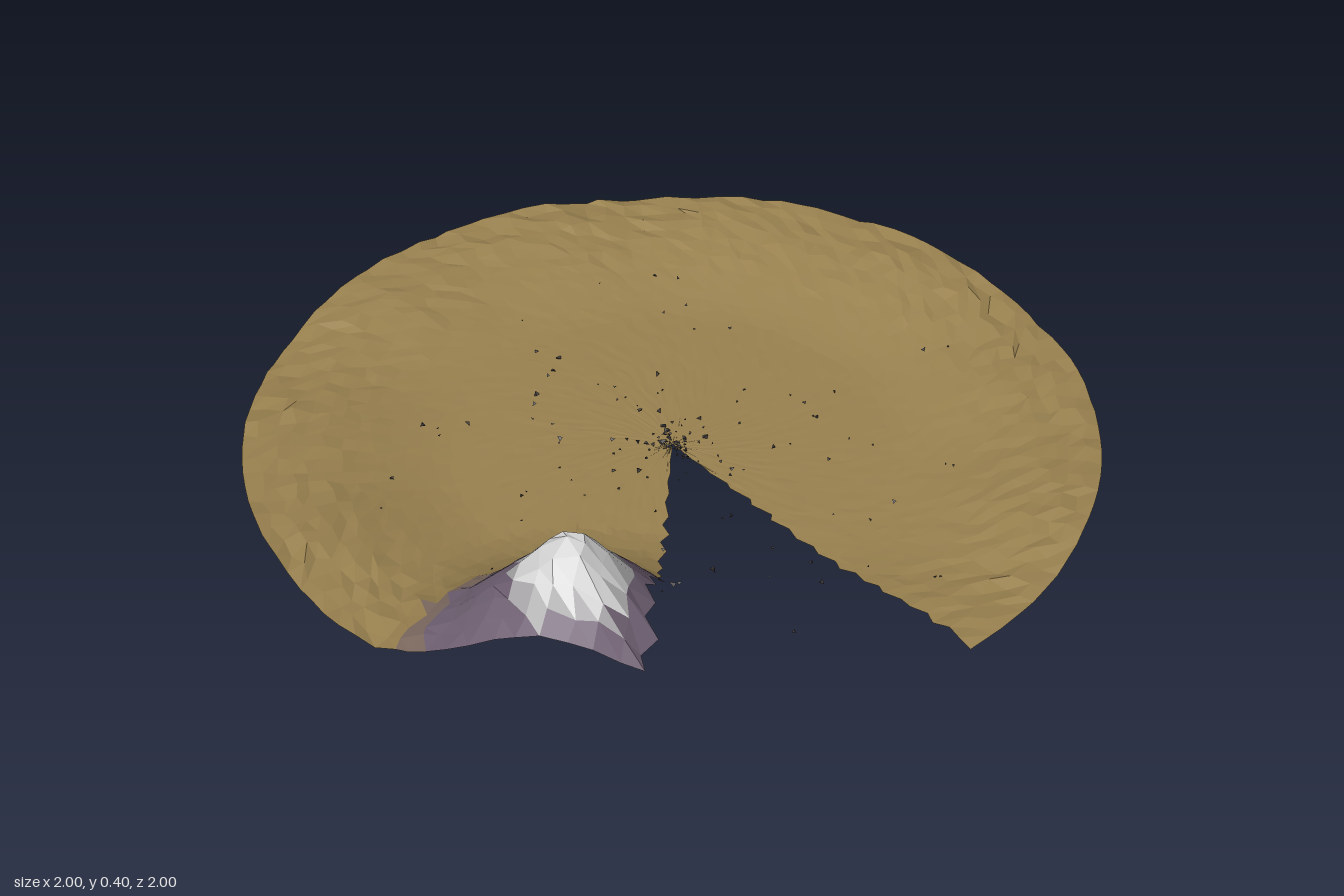
import * as THREE from 'three';
import { mergeGeometries } from 'three/addons/utils/BufferGeometryUtils.js';

// Small seeded random generator
function seeded(seed) {
  return () => {
    seed = (seed * 1664525 + 1013904223) >>> 0;
    return seed / 4294967296;
  };
}

const material = (name, color, extra = {}) =>
  new THREE.MeshStandardMaterial({ name, color, flatShading: true, ...extra });

const PEAK = { x: -0.16, z: 0.83 };
const CUT_START = THREE.MathUtils.degToRad(42.5); // angle from +z towards +x
const CUT_END = Math.PI * 2;

// Height of the mountain by distance from its peak
const SLOPE = [[0, 0.405], [0.05, 0.37], [0.1, 0.3], [0.15, 0.243], [0.21, 0.172],
  [0.28, 0.09], [0.35, 0.045], [0.42, 0.015], [0.5, 0]];
function mountainHeight(d) {
  for (let i = 1; i < SLOPE.length; i++) {
    const [d0, h0] = SLOPE[i - 1], [d1, h1] = SLOPE[i];
    if (d <= d1) return THREE.MathUtils.mapLinear(d, d0, d1, h0, h1);
  }
  return 0;
}

// Shallow bowl with a rolling rim, plus the mountain
function groundHeight(x, z) {
  const r = Math.hypot(x, z), a = Math.atan2(x, z);
  const rim = THREE.MathUtils.smoothstep(r, 0.5, 0.92);
  const roll = 0.008 * Math.sin(a * 5 + 1) + 0.005 * Math.sin(a * 11);
  const bowl = 0.009 + rim * (0.056 + roll);
  const d = Math.hypot(x - PEAK.x, z - PEAK.z);
  return bowl * (1 - 0.8 * THREE.MathUtils.smoothstep(0.4 - d, 0, 0.4)) + mountainHeight(d);
}

// Polar grid of jittered points with ragged cut edges
function terrainPoints(rings, sectors) {
  const rand = seeded(7);
  const grid = [];
  for (let i = 0; i <= rings; i++) {
    const row = [];
    for (let j = 0; j <= sectors; j++) {
      const outer = i === rings, edge = j === 0 || j === sectors;
      let r = i / rings, a = THREE.MathUtils.lerp(CUT_START, CUT_END, j / sectors);
      if (i > 0 && !outer) r += (rand() - 0.5) * 0.55 / rings;
      if (!edge) a += (rand() - 0.5) * 0.5 * (CUT_END - CUT_START) / sectors;
      let x = r * Math.sin(a), z = r * Math.cos(a);
      if (edge && i > 0 && !outer) {
        const size = j === sectors && r > 0.6 ? 0.025 : 0.014;
        x += (i % 2 ? 1 : -0.5) * size * (0.4 + 0.6 * rand()) * Math.min(1, r * 3);
      }
      const rough = 0.001 + 0.012 * THREE.MathUtils.smoothstep(r, 0.6, 0.95);
      const y = groundHeight(x, z) + (rand() - 0.5) * rough;
      row.push(new THREE.Vector3(x, y, z));
    }
    grid.push(row);
  }
  return grid;
}

// Sort the sheet's triangles into height bands, one mesh per colour
function buildTerrain(bands) {
  const rings = 27, sectors = 105;
  const grid = terrainPoints(rings, sectors);
  const buckets = bands.map(() => []);
  const addTriangle = (...tri) => {
    const cx = (tri[0].x + tri[1].x + tri[2].x) / 3;
    const cz = (tri[0].z + tri[1].z + tri[2].z) / 3;
    const y = (tri[0].y + tri[1].y + tri[2].y) / 3;
    const d = Math.hypot(cx - PEAK.x, cz - PEAK.z);
    const level = d < 0.42 ? y + 0.006 * Math.sin(cx * 45) : 0;
    let band = 0;
    while (band + 1 < bands.length && level > bands[band + 1].from) band++;
    for (const p of tri) buckets[band].push(p.x, p.y, p.z);
  };
  for (let i = 0; i < rings; i++) {
    for (let j = 0; j < sectors; j++) {
      const a = grid[i][j], b = grid[i + 1][j], c = grid[i + 1][j + 1], d = grid[i][j + 1];
      addTriangle(a, b, c);
      if (i > 0) addTriangle(a, c, d);
    }
  }
  const terrain = new THREE.Group();
  terrain.name = 'terrain';
  bands.forEach((band, k) => {
    const geometry = new THREE.BufferGeometry();
    geometry.setAttribute('position', new THREE.Float32BufferAttribute(buckets[k], 3));
    geometry.computeVertexNormals();
    const mesh = new THREE.Mesh(geometry, band.material);
    mesh.name = band.name;
    terrain.add(mesh);
  });
  return terrain;
}

// Little stones scattered most densely around the centre
function buildRubble(mat) {
  const rand = seeded(23);
  const stones = [];
  for (let i = 0; i < 150; i++) {
    const r = 0.02 + 0.78 * Math.pow(rand(), 2.2), a = rand() * Math.PI * 2;
    const x = r * Math.sin(a), z = r * Math.cos(a);
    const size = 0.003 + 0.007 * rand() * rand();
    const stone = new THREE.TetrahedronGeometry(size);
    stone.scale(1 + rand() * 0.6, 0.8, 1);
    stone.rotateX(rand() * 6);
    stone.rotateY(rand() * 6);
    stone.translate(x, groundHeight(x, z) + 0.004 + 0.03 * rand() * rand(), z);
    stones.push(stone);
  }
  const rubble = new THREE.Mesh(mergeGeometries(stones), mat);
  rubble.name = 'rubble';
  return rubble;
}

export function createModel() {
  const sheet = { side: THREE.DoubleSide };
  const bands = [
    { name: 'plain', from: -1, material: material('dry earth', 0x9a8250, sheet) },
    { name: 'foothill', from: 0.1, material: material('earthy mauve', 0x7d6a60, sheet) },
    { name: 'mountainSlope', from: 0.122, material: material('purple rock', 0x6f6072, sheet) },
    { name: 'snowFringe', from: 0.285, material: material('grey snow', 0xa8a6a8, sheet) },
    { name: 'snowCap', from: 0.31, material: material('snow', 0xd6d6d6, sheet) },
  ];
  const model = new THREE.Group();
  model.name = 'mountainBasin';
  model.add(buildTerrain(bands), buildRubble(material('dark stone', 0x4a4444)));
  return model;
}
